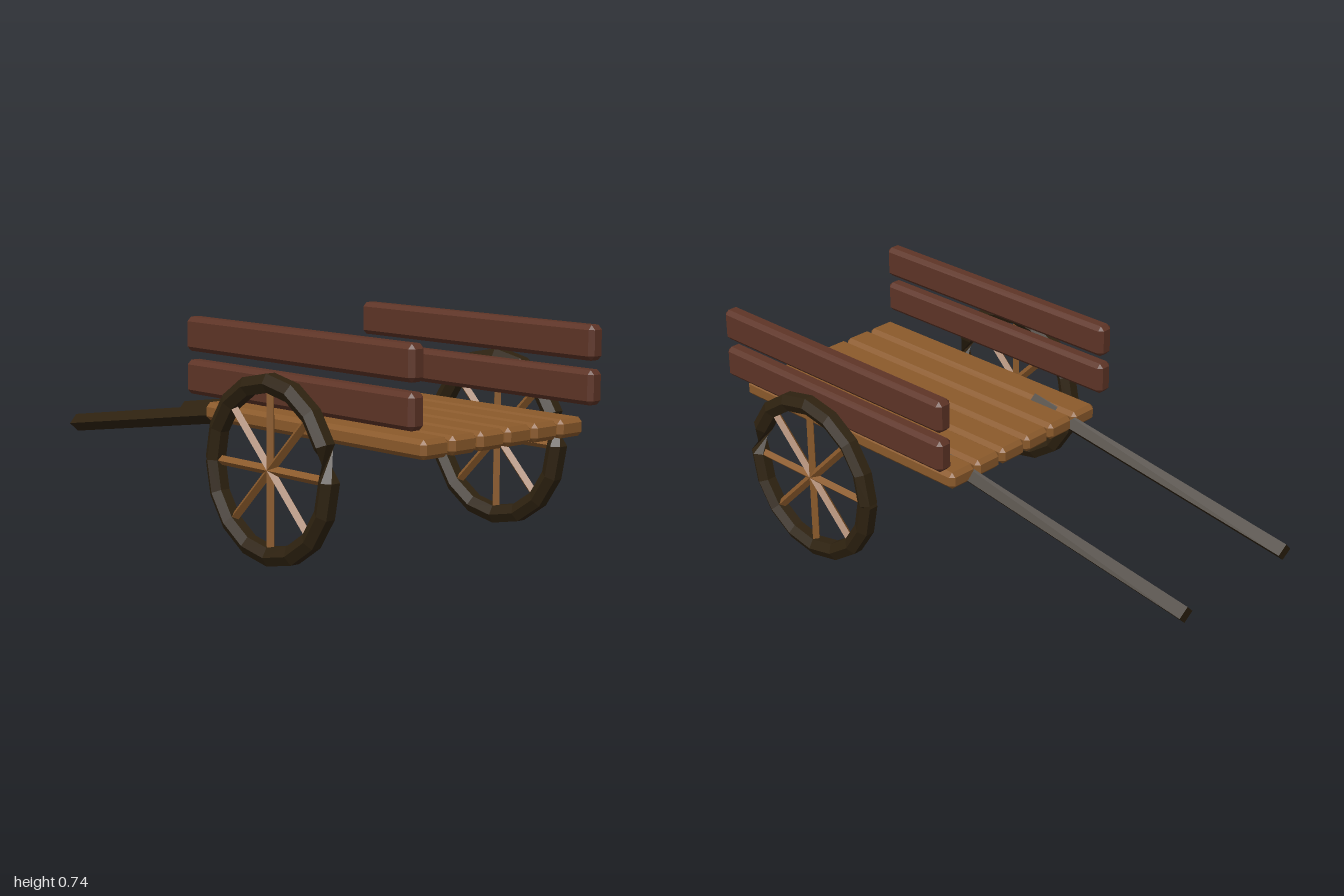
import * as THREE from 'three';
import { ConvexGeometry } from 'three/addons/geometries/ConvexGeometry.js';

const mat = (name, color, extra = {}) => {
  const m = new THREE.MeshStandardMaterial({ color, flatShading: true, ...extra });
  m.name = name;
  return m;
};

// Box with every edge chamfered by c
function chamferBox(w, h, d, c) {
  const pts = [];
  for (const x of [-1, 1]) for (const y of [-1, 1]) for (const z of [-1, 1]) {
    for (const [a, b, e] of [[0, c, c], [c, 0, c], [c, c, 0]]) {
      pts.push(new THREE.Vector3(x * (w / 2 - a), y * (h / 2 - b), z * (d / 2 - e)));
    }
  }
  return new ConvexGeometry(pts);
}

// Hexagonal rim swept in the y-z plane, open at the back, with a half-twist in one segment
function rimGeometry(radius, r) {
  const segs = 16, sides = 6, twistAt = 7, pos = [], idx = [];
  for (let i = 0; i <= segs; i++) {
    const t = i / segs * Math.PI * 2;
    // the end sections stand square to their own segment, leaving a thin wedge
    const tilt = i === 0 ? Math.PI / segs : i === segs ? -Math.PI / segs : 0;
    for (let j = 0; j < sides; j++) {
      const a = j / sides * Math.PI * 2 + (i > twistAt ? Math.PI : 0);
      const out = r * Math.sin(a);
      pos.push(r * Math.cos(a),
        radius * Math.sin(t) + out * Math.sin(t + tilt),
        -radius * Math.cos(t) - out * Math.cos(t + tilt));
    }
  }
  for (let i = 0; i < segs; i++) for (let j = 0; j < sides; j++) {
    const a = i * sides + j, b = i * sides + (j + 1) % sides;
    idx.push(a, b, a + sides, b, b + sides, a + sides);
  }
  const g = new THREE.BufferGeometry();
  g.setAttribute('position', new THREE.Float32BufferAttribute(pos, 3));
  g.setIndex(idx);
  g.computeVertexNormals();
  return g;
}

export function createModel() {
  const group = new THREE.Group();
  group.name = 'cart';
  const deckWood = mat('deck wood', 0x8b5a2b);
  const sideWood = mat('side wood', 0x5e3426);
  const darkWood = mat('dark wood', 0x2e2210);
  const rimWood = mat('rim wood', 0x2e2210, { side: THREE.DoubleSide });

  const add = (parent, name, geo, material, x, y, z) => {
    const m = new THREE.Mesh(geo, material);
    m.name = name;
    m.position.set(x, y, z);
    parent.add(m);
    return m;
  };

  // Deck planks
  const plank = chamferBox(0.116, 0.062, 1.06, 0.015);
  for (let i = 0; i < 6; i++) add(group, 'deckPlank', plank, deckWood, (i - 2.5) * 0.122, 0.42, 0.453);

  const board = chamferBox(0.063, 0.115, 1.09, 0.015);
  const rim = rimGeometry(0.277, 0.035);
  const spoke = new THREE.CylinderGeometry(0.016, 0.016, 0.53, 4);

  // Pull shafts slope from under the deck down to the back
  const from = new THREE.Vector3(0, 0.432, 0.125), to = new THREE.Vector3(0, 0.262, -0.995);
  const dir = to.clone().sub(from);
  const shaft = new THREE.CylinderGeometry(0.032, 0.032, dir.length(), 4);

  for (const s of [-1, 1]) {
    // Side boards
    for (const y of [0.543, 0.688]) add(group, 'sideBoard', board, sideWood, s * 0.4, y, 0.455);

    const mid = from.clone().add(to).multiplyScalar(0.5);
    const sh = add(group, 'pullShaft', shaft, darkWood, s * 0.258, mid.y, mid.z);
    sh.rotation.x = Math.atan2(dir.z, dir.y);

    // Wheel: rim and four crossed spoke bars
    const wheel = new THREE.Group();
    wheel.name = s > 0 ? 'leftWheel' : 'rightWheel';
    wheel.position.set(s * 0.515, 0.308, 0.455);
    group.add(wheel);
    add(wheel, 'rim', rim, rimWood, 0, 0, 0);
    for (let k = 0; k < 4; k++) add(wheel, 'spokeBar', spoke, deckWood, 0, 0, 0).rotation.x = k * Math.PI / 4;
  }
  return group;
}
